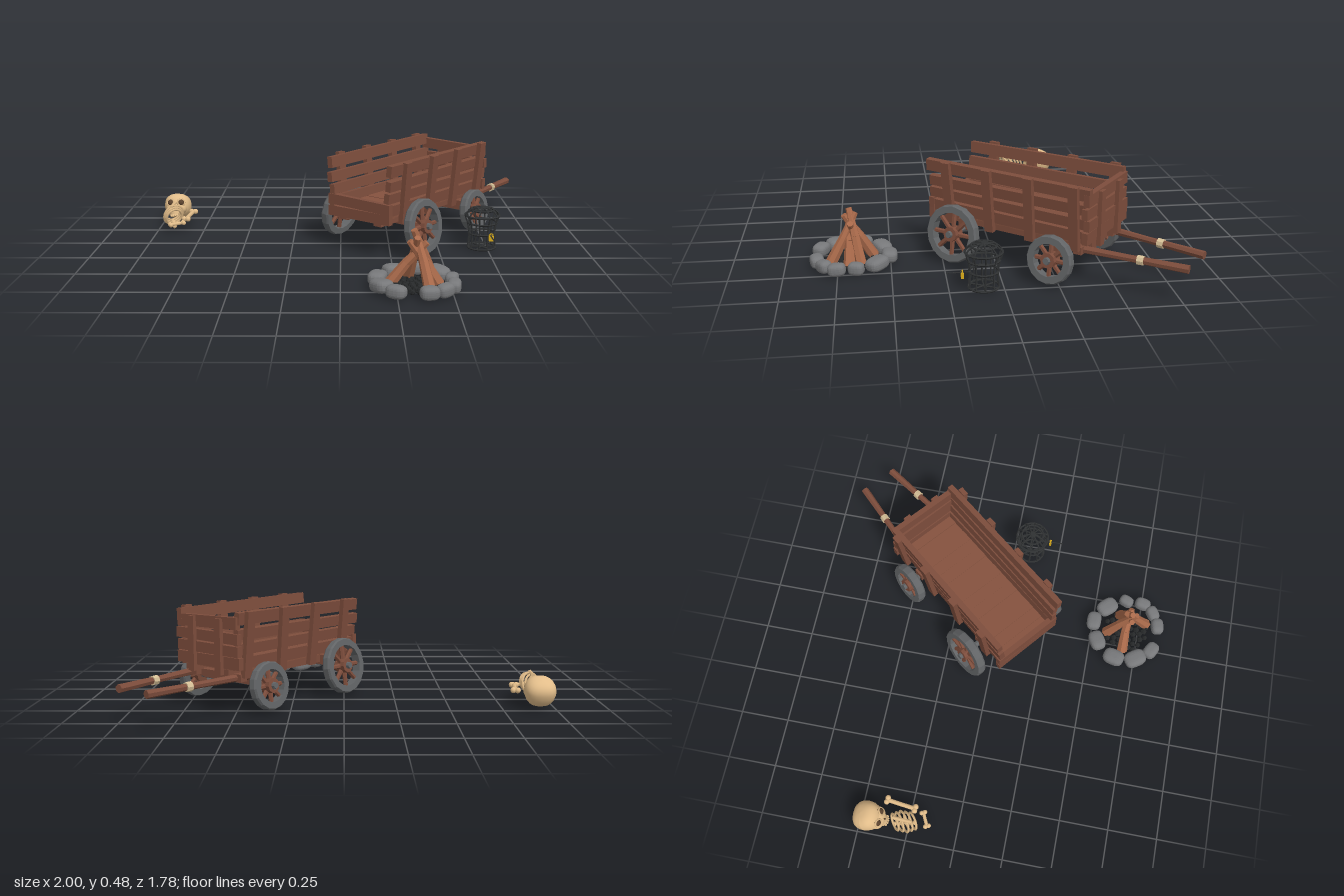
import * as THREE from 'three';

const mat = (color, flatShading = true) => new THREE.MeshStandardMaterial({ color, flatShading, roughness: 0.9 });
const WOOD = mat(0x7d4d3c), FLOOR = mat(0x85523f), LOG = mat(0xa8694a), IRON = mat(0x626466), BLACK = mat(0x2f3132);
const STONE = mat(0x77787a), COAL = mat(0x262829), ROPE = mat(0xd6c097), GOLD = mat(0xd6a81a);
const BONE = mat(0xe2bd8a, false), SOCKET = mat(0x5a422e, false);
const V = (x, y, z) => new THREE.Vector3(x, y, z);

// small seeded generator, -1..1
let seed = 7;
const rnd = () => ((seed = (seed * 16807) % 2147483647) / 2147483647) * 2 - 1;

function add(parent, name, geo, material, x = 0, y = 0, z = 0) {
  const m = new THREE.Mesh(geo, material);
  m.name = name;
  m.position.set(x, y, z);
  parent.add(m);
  return m;
}
function group(parent, name, x = 0, y = 0, z = 0) {
  const g = new THREE.Group();
  g.name = name;
  g.position.set(x, y, z);
  parent.add(g);
  return g;
}
const box = (p, name, m, w, h, d, x, y, z) => add(p, name, new THREE.BoxGeometry(w, h, d), m, x, y, z);

// round bar from a to b
function bar(p, name, m, a, b, r1, r2 = r1, sides = 6) {
  const d = b.clone().sub(a);
  const o = add(p, name, new THREE.CylinderGeometry(r2, r1, d.length(), sides), m);
  o.position.copy(a).addScaledVector(d, 0.5);
  o.quaternion.setFromUnitVectors(V(0, 1, 0), d.normalize());
  return o;
}
function ring(p, name, m, r, tube, x, y, z, flat = true) {
  const o = add(p, name, new THREE.TorusGeometry(r, tube, 5, 20), m, x, y, z);
  if (flat) o.rotation.x = Math.PI / 2;
  return o;
}
// ball pushed toward a rounded block
function blockyBall(power, squeeze = () => 1) {
  const geo = new THREE.SphereGeometry(1, 20, 14), p = geo.attributes.position;
  for (let i = 0; i < p.count; i++) {
    const [x, y, z] = [p.getX(i), p.getY(i), p.getZ(i)].map(c => Math.sign(c) * Math.pow(Math.abs(c), power));
    p.setXYZ(i, x * squeeze(y, z), y, z);
  }
  geo.computeVertexNormals();
  return geo;
}

function wheel(parent, x, r, z) {
  const side = Math.sign(x), g = group(parent, 'wheel', x, r + 0.008, z);
  g.rotation.z = side * 0.15; // bottoms splay outward
  const t = 0.023, i = r - 0.037;
  const profile = [[i, -t], [r - 0.006, -t], [r, -t * 0.6], [r, t * 0.6], [r - 0.006, t], [i, t], [i, -t]];
  const rim = add(g, 'rim', new THREE.LatheGeometry(profile.map(q => new THREE.Vector2(...q)), 16), IRON);
  rim.rotation.z = Math.PI / 2;
  for (let k = 0; k < 8; k++) {
    const a = (k / 8) * Math.PI * 2;
    bar(g, 'spoke', WOOD, V(0, 0, 0), V(0, Math.cos(a) * (i + 0.008), Math.sin(a) * (i + 0.008)), 0.013, 0.011);
  }
  bar(g, 'hub', WOOD, V(-0.03, 0, 0), V(0.03, 0, 0), 0.036, 0.036, 10);
  bar(g, 'hubCap', IRON, V(side * 0.028, 0, 0), V(side * 0.045, 0, 0), 0.018, 0.015, 8);
}

function cart(root) {
  const g = group(root, 'cart', 0.37, 0, -0.165);
  g.rotation.y = 2.452;
  // floor of close cross planks
  for (let k = 0; k < 13; k++)
    box(g, 'floorPlank', FLOOR, 0.35, 0.022, 0.0645, 0, 0.212 + rnd() * 0.003, -0.405 + k * 0.065).rotation.z = rnd() * 0.006;
  // wall rows: height of centre, plank height
  const rows = [[0.238, 0.056], [0.303, 0.05], [0.368, 0.05], [0.443, 0.056]];
  const flare = y => 0.164 + (y - 0.2) * 0.1;
  for (const s of [-1, 1]) {
    box(g, 'chassisBeam', WOOD, 0.045, 0.05, 0.84, s * 0.11, 0.18, -0.01);
    // slatted sides with outer posts
    for (const [y, h] of rows) {
      const o = box(g, 'sidePlank', WOOD, 0.03, h, 0.855 + rnd() * 0.02, s * flare(y), y, -0.014 + rnd() * 0.01);
      o.rotation.set(rnd() * 0.014, rnd() * 0.008, -s * 0.1);
    }
    for (const z of [-0.325, -0.1, 0.12, 0.35]) {
      const o = box(g, 'sidePost', WOOD, 0.026, 0.31, 0.046, s * (flare(0.322) + 0.026), 0.322, z);
      o.rotation.set(rnd() * 0.03, 0, -s * 0.1);
    }
    // pulling shafts with rope bindings
    const a = V(s * 0.152, 0.165, 0.3), b = V(s * 0.094, 0.158, 0.855);
    const mid = a.clone().lerp(b, 0.5);
    bar(g, 'shaft', WOOD, a, mid, 0.019, 0.016, 7);
    bar(g, 'shaft', WOOD, mid, b, 0.016, 0.02, 7);
    for (let k = 0; k < 3; k++) {
      const c = a.clone().lerp(b, 0.585 + k * 0.018), e = a.clone().lerp(b, 0.602 + k * 0.018);
      bar(g, 'ropeBinding', ROPE, c, e, 0.023, 0.022, 8);
    }
    wheel(g, s * 0.265, 0.14, -0.256);
    wheel(g, s * 0.242, 0.114, 0.257);
  }
  // front wall, slightly lower than the sides, and low tail boards
  rows.forEach(([y, h], k) => {
    const o = box(g, 'frontPlank', WOOD, 0.405 + rnd() * 0.02, h, 0.028, rnd() * 0.012, y - k * 0.008, 0.405 + rnd() * 0.006);
    o.rotation.z = rnd() * 0.03;
  });
  for (const x of [-0.09, 0.09]) box(g, 'frontPost', WOOD, 0.04, 0.26, 0.022, x, 0.31, 0.429);
  for (const y of [0.198, 0.254]) box(g, 'tailBoard', WOOD, 0.385, 0.052, 0.028, 0, y, -0.432).rotation.z = rnd() * 0.02;
  // running gear
  for (const [z, y] of [[-0.256, 0.148], [0.257, 0.122]]) {
    bar(g, 'axle', IRON, V(-0.28, y, z), V(0.28, y, z), 0.015, 0.015, 8);
    box(g, 'axleBeam', WOOD, 0.36, 0.05, 0.055, 0, y + 0.02, z);
  }
  box(g, 'shaftCrossbar', WOOD, 0.36, 0.035, 0.04, 0, 0.165, 0.36);
}

function campfire(root) {
  const g = group(root, 'campfire', 0.337, 0, 0.685);
  // stone ring: x, z, long size, turn
  const stones = [[0.02, -0.18, 0.054, 0], [-0.09, -0.147, 0.058, 0.5], [0.115, -0.12, 0.062, -0.8], [-0.168, -0.045, 0.06, 1.3],
    [0.168, -0.022, 0.041, 1.2], [-0.155, 0.07, 0.062, -1], [0.168, 0.068, 0.045, 1.4], [0.123, 0.128, 0.044, 0.6],
    [0.052, 0.163, 0.047, 0.2], [-0.093, 0.148, 0.05, -0.5]];
  stones.forEach(([x, z, r, turn]) => {
    const o = add(g, 'stone', blockyBall(0.7), STONE, x, 0.031, z);
    o.scale.set(r * 0.95, 0.031, r * 0.72);
    o.rotation.set(rnd() * 0.08, turn, rnd() * 0.08);
  });
  // logs leaning past one another: foot x, z and top x, y, z
  const logs = [[-0.115, -0.005, 0.05, 0.21, 0], [-0.025, -0.105, 0.005, 0.24, 0.03], [0.085, -0.045, -0.01, 0.27, 0.005],
    [0.06, 0.1, 0, 0.25, -0.025], [0.105, 0.01, -0.03, 0.22, 0.01]];
  for (const [x, z, tx, h, tz] of logs) {
    const foot = V(x, 0.015, z), top = V(tx, h, tz);
    const knee = foot.clone().lerp(top, 0.5).add(V(rnd() * 0.008, 0, rnd() * 0.008));
    bar(g, 'log', LOG, foot, knee, 0.029, 0.023, 7);
    bar(g, 'log', LOG, knee, top, 0.023, 0.015, 7);
  }
  // coals
  for (let k = 0; k < 46; k++) {
    const a = k * 2.4, r = 0.115 * Math.sqrt((k + 0.5) / 46);
    add(g, 'coal', new THREE.IcosahedronGeometry(0.016 + rnd() * 0.003, 0), COAL, Math.cos(a) * r, 0.014, Math.sin(a) * r);
  }
}

function cage(root) {
  const g = group(root, 'cage', 0.72, 0, 0.092);
  const profile = [[0.07, 0.01], [0.066, 0.085], [0.074, 0.14], [0.086, 0.178], [0.058, 0.206], [0.01, 0.216]];
  const n = 10, t = 0.0042;
  for (let k = 0; k < n; k++) {
    const a = (k / n) * Math.PI * 2;
    const path = new THREE.CatmullRomCurve3(profile.map(([r, y]) => V(Math.cos(a) * r, y, Math.sin(a) * r)));
    add(g, 'cageBar', new THREE.TubeGeometry(path, 14, t, 5), BLACK);
  }
  for (const [r, y] of profile.slice(0, 5)) ring(g, 'cageHoop', BLACK, r, 0.0055, 0, y, 0);
  for (let k = 0; k < 3; k++) {
    const a = (k / 3) * Math.PI, x = Math.cos(a) * 0.068, z = Math.sin(a) * 0.068;
    bar(g, 'cageBase', BLACK, V(-x, 0.01, -z), V(x, 0.01, z), t);
  }
  add(g, 'cageCap', new THREE.CylinderGeometry(0.014, 0.022, 0.012, 8), BLACK, 0, 0.217, 0);
  // latch and padlock
  bar(g, 'latch', BLACK, V(0.03, 0.095, 0.06), V(0.033, 0.095, 0.17), 0.003);
  box(g, 'padlock', GOLD, 0.024, 0.026, 0.012, 0.033, 0.082, 0.1);
  ring(g, 'padlockShackle', GOLD, 0.009, 0.003, 0.033, 0.096, 0.1, false);
}

function longBone(parent, a, b, r) {
  bar(parent, 'boneShaft', BONE, a, b, r, r, 8);
  const side = b.clone().sub(a).normalize().cross(V(0, 1, 0)).multiplyScalar(r * 0.95);
  for (const e of [a, b]) for (const s of [-1, 1])
    add(parent, 'boneKnob', new THREE.SphereGeometry(r * 1.35, 10, 8), BONE).position.copy(e).addScaledVector(side, s);
}

function remains(root) {
  const g = group(root, 'remains');
  // skull, face tilted upward
  const s = group(g, 'skull', -0.925, 0.083, -0.452);
  s.rotation.x = -0.5;
  const squeeze = (y, z) => 1 - Math.max(0, z) * 0.1 - Math.max(0, -y) * 0.12; // narrows to the face and base
  add(s, 'cranium', blockyBall(0.8, squeeze), BONE).scale.set(0.075, 0.066, 0.072);
  add(s, 'cheeks', blockyBall(0.85), BONE, 0, -0.024, 0.04).scale.set(0.058, 0.036, 0.042);
  add(s, 'upperJaw', new THREE.CylinderGeometry(0.038, 0.032, 0.03, 14), BONE, 0, -0.058, 0.044);
  for (const x of [-1, 1]) {
    add(s, 'eyeSocket', new THREE.SphereGeometry(0.018, 12, 10), SOCKET, x * 0.029, 0, 0.068);
    ring(s, 'browRim', BONE, 0.019, 0.005, x * 0.029, 0, 0.074, false).rotation.y = x * 0.3;
  }
  add(s, 'noseHole', new THREE.ConeGeometry(0.009, 0.02, 3), SOCKET, 0, -0.028, 0.08);
  for (let k = -2; k <= 2; k++) box(s, 'tooth', BONE, 0.009, 0.012, 0.008, k * 0.011, -0.074, 0.074 - k * k * 0.002);
  // rib cage lying on its side
  const r = group(g, 'ribCage', -0.918, 0.08, -0.268);
  r.rotation.y = 0.25;
  for (let k = 0; k < 5; k++) {
    const o = ring(r, 'rib', BONE, 0.056 - Math.abs(k - 2) * 0.006, 0.0065, 0, 0, -0.044 + k * 0.022, false);
    o.rotation.set(0.3, 0.35, 0);
  }
  bar(r, 'breastbone', BONE, V(0.014, 0.053, -0.05), V(-0.014, 0.053, 0.042), 0.01);
  for (let k = 0; k < 6; k++) add(r, 'vertebra', new THREE.SphereGeometry(0.012, 8, 6), BONE, 0, -0.052, -0.05 + k * 0.02);
  // loose bones
  longBone(g, V(-0.825, 0.07, -0.375), V(-0.843, 0.067, -0.228), 0.011);
  longBone(g, V(-0.915, 0.055, -0.152), V(-0.852, 0.058, -0.184), 0.009);
}

export function createModel() {
  const root = new THREE.Group();
  root.name = 'campScene';
  cart(root);
  campfire(root);
  cage(root);
  remains(root);
  return root;
}
